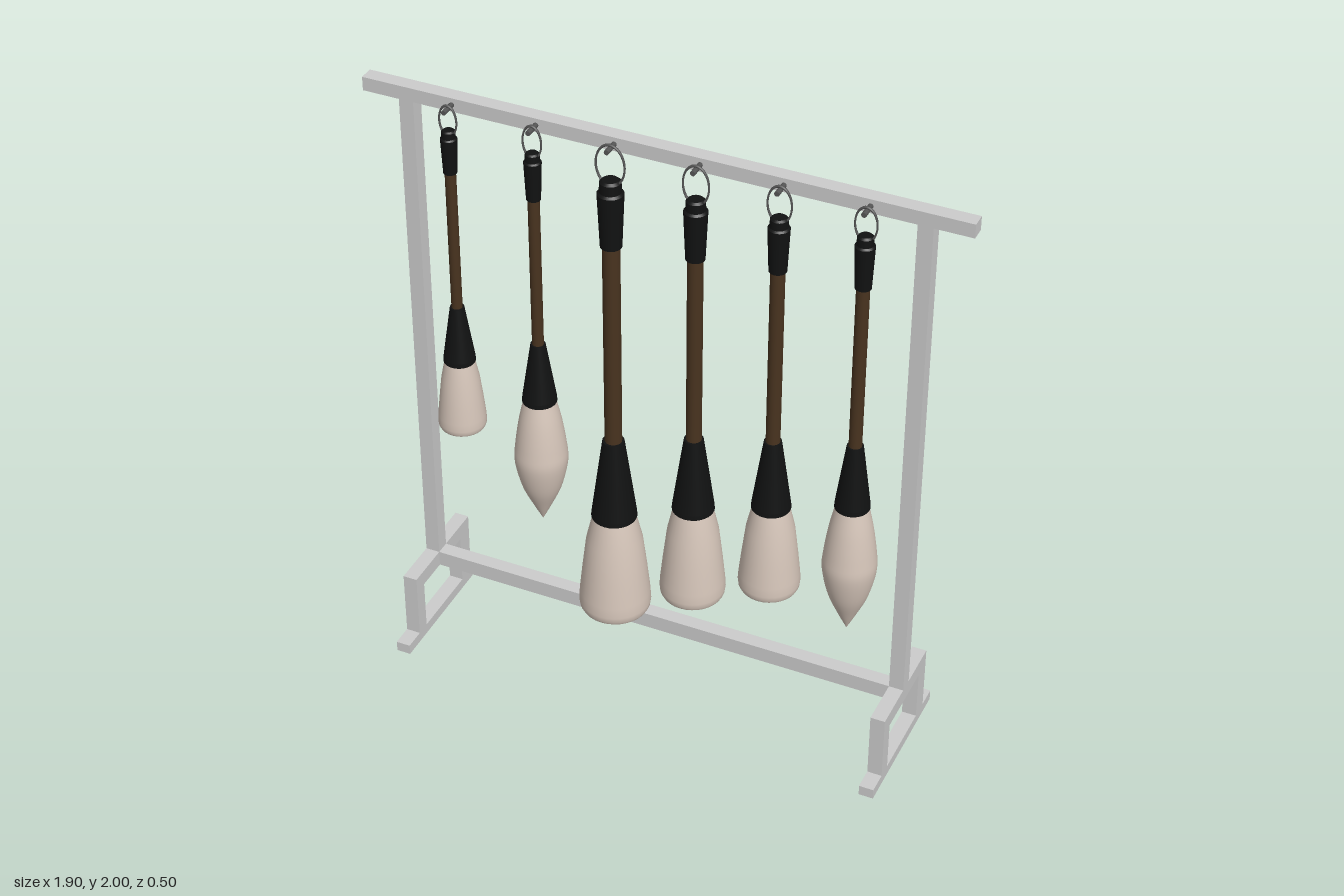
import * as THREE from 'three';

const material = (color) => new THREE.MeshStandardMaterial({ color });
const grey = material(0xcccccc);
const black = material(0x111212);
const wood = material(0x48331f);
const hair = material(0xd6c6ba);
const wire = material(0x555555);

const BAR = 0.047; // thickness of the rack's square bars
const BRUSH_Z = 0.052; // brushes hang just in front of the top bar

function add(parent, name, geometry, mat, x = 0, y = 0, z = 0) {
  const mesh = new THREE.Mesh(geometry, mat);
  mesh.name = name;
  mesh.position.set(x, y, z);
  parent.add(mesh);
  return mesh;
}

// Box given by its lower and upper limits on y and z, centred on x
function bar(parent, name, x, width, y0, y1, z0, z1) {
  return add(parent, name, new THREE.BoxGeometry(width, y1 - y0, z1 - z0), grey,
    x, (y0 + y1) / 2, (z0 + z1) / 2);
}

const lathe = (points, segments = 32) =>
  new THREE.LatheGeometry(points.map(([r, y]) => new THREE.Vector2(r, y)), segments);

// Each straight band gets its own lathe so that the edges between bands stay sharp
function turned(parent, name, points, mat) {
  const group = new THREE.Group();
  group.name = name;
  for (let i = 0; i < points.length - 1; i++) {
    add(group, name + 'Band', lathe([points[i], points[i + 1]]), mat);
  }
  parent.add(group);
}

function buildRack() {
  const rack = new THREE.Group();
  rack.name = 'rack';
  const h = BAR / 2;
  bar(rack, 'topBar', 0, 1.9, 1.955, 2, -h, h);
  bar(rack, 'lowerBar', 0, 1.57, 0.207, 0.26, -h, h);
  for (const side of [-1, 1]) {
    const x = side * 0.807;
    bar(rack, 'post', x, BAR, 0.26, 1.955, -h, h);
    bar(rack, 'footBridge', x, BAR, 0.207, 0.26, -0.18, 0.18);
    bar(rack, 'footFrontLeg', x, BAR, 0.035, 0.207, 0.133, 0.18);
    bar(rack, 'footBackLeg', x, BAR, 0.035, 0.207, -0.18, -0.12);
    bar(rack, 'footBase', x, BAR, 0, 0.035, -0.25, 0.25);
  }
  return rack;
}

function buildBrush({ x, cap, ferrule, tip, r, neck, flare, belly, pointed }) {
  const brush = new THREE.Group();
  brush.name = 'brush';
  brush.position.set(x, 0, BRUSH_Z);
  const [capTop, capBottom] = cap;
  const [ferTop, ferBottom] = ferrule;
  const capLen = capTop - capBottom;

  // Wooden handle
  add(brush, 'handle', new THREE.CylinderGeometry(r, r, capBottom - ferTop + 0.04, 24), wood,
    0, (capBottom + ferTop) / 2);

  // Stepped end cap
  turned(brush, 'cap', [
    [0, capBottom], [r * 1.22, capBottom], [r * 1.5, capTop - capLen * 0.2],
    [r * 1.25, capTop - capLen * 0.17], [r * 1.2, capTop - capLen * 0.03],
    [r * 0.9, capTop], [0, capTop],
  ], black);

  // Flared ferrule
  turned(brush, 'ferrule', [
    [0, ferBottom], [flare, ferBottom], [flare * 0.98, ferBottom + 0.015],
    [neck, ferTop], [0, ferTop],
  ], black);

  // Bristles: a leaf shape with a point, or a flat-ended bell
  const len = ferBottom - tip;
  const start = flare * 0.93;
  if (pointed) {
    const spline = new THREE.SplineCurve([
      [0.001, 0], [belly * 0.36, 0.13], [belly * 0.76, 0.3], [belly, 0.5],
      [belly * 0.96, 0.64], [belly * 0.8, 0.84], [start, 1],
    ].map(([radius, t]) => new THREE.Vector2(radius, tip + t * len)));
    add(brush, 'bristles', new THREE.LatheGeometry(spline.getPoints(28), 32), hair);
  } else {
    add(brush, 'bristles', lathe([
      [belly * 0.93, tip], [belly * 0.98, tip + len * 0.03], [belly, tip + len * 0.08],
      [belly * 0.98, tip + len * 0.18], [belly * 0.9, tip + len * 0.42],
      [belly * 0.78, tip + len * 0.74], [start, ferBottom],
    ]), hair);
    add(brush, 'bristleEnd', lathe([[0, tip], [belly * 0.93, tip]]), hair);
  }

  // Oval hanging ring and the peg that holds it
  const ringTop = 1.995;
  const ringBottom = capTop - 0.025;
  const tube = 0.0045;
  const ringHeight = (ringTop - ringBottom) / 2;
  const ringWidth = r * 1.8;
  const ring = add(brush, 'ring', new THREE.TorusGeometry(ringHeight - tube, tube, 8, 36), wire,
    0, (ringTop + ringBottom) / 2);
  ring.scale.x = ringWidth / ringHeight;
  const peg = add(brush, 'peg', new THREE.CylinderGeometry(0.008, 0.008, 0.055, 12), wire,
    0, 1.979, -0.003);
  peg.rotation.x = Math.PI / 2;
  return brush;
}

export function createModel() {
  const model = new THREE.Group();
  model.name = 'brushRack';
  model.add(buildRack());
  const brushes = [
    { x: -0.655, cap: [1.91, 1.765], ferrule: [1.287, 1.09], tip: 0.845, r: 0.017, neck: 0.022, flare: 0.05, belly: 0.076 },
    { x: -0.383, cap: [1.903, 1.745], ferrule: [1.23, 1.02], tip: 0.56, r: 0.018, neck: 0.023, flare: 0.054, belly: 0.083, pointed: true },
    { x: -0.135, cap: [1.876, 1.65], ferrule: [0.943, 0.655], tip: 0.295, r: 0.027, neck: 0.034, flare: 0.072, belly: 0.114 },
    { x: 0.132, cap: [1.882, 1.68], ferrule: [1.033, 0.77], tip: 0.44, r: 0.024, neck: 0.03, flare: 0.066, belly: 0.103 },
    { x: 0.387, cap: [1.89, 1.71], ferrule: [1.105, 0.86], tip: 0.555, r: 0.022, neck: 0.027, flare: 0.061, belly: 0.096 },
    { x: 0.645, cap: [1.9, 1.725], ferrule: [1.17, 0.945], tip: 0.475, r: 0.02, neck: 0.025, flare: 0.054, belly: 0.083, pointed: true },
  ];
  for (const spec of brushes) model.add(buildBrush(spec));
  // Thin turned surfaces show from either side
  for (const mat of [hair, black]) mat.side = THREE.DoubleSide;
  return model;
}
